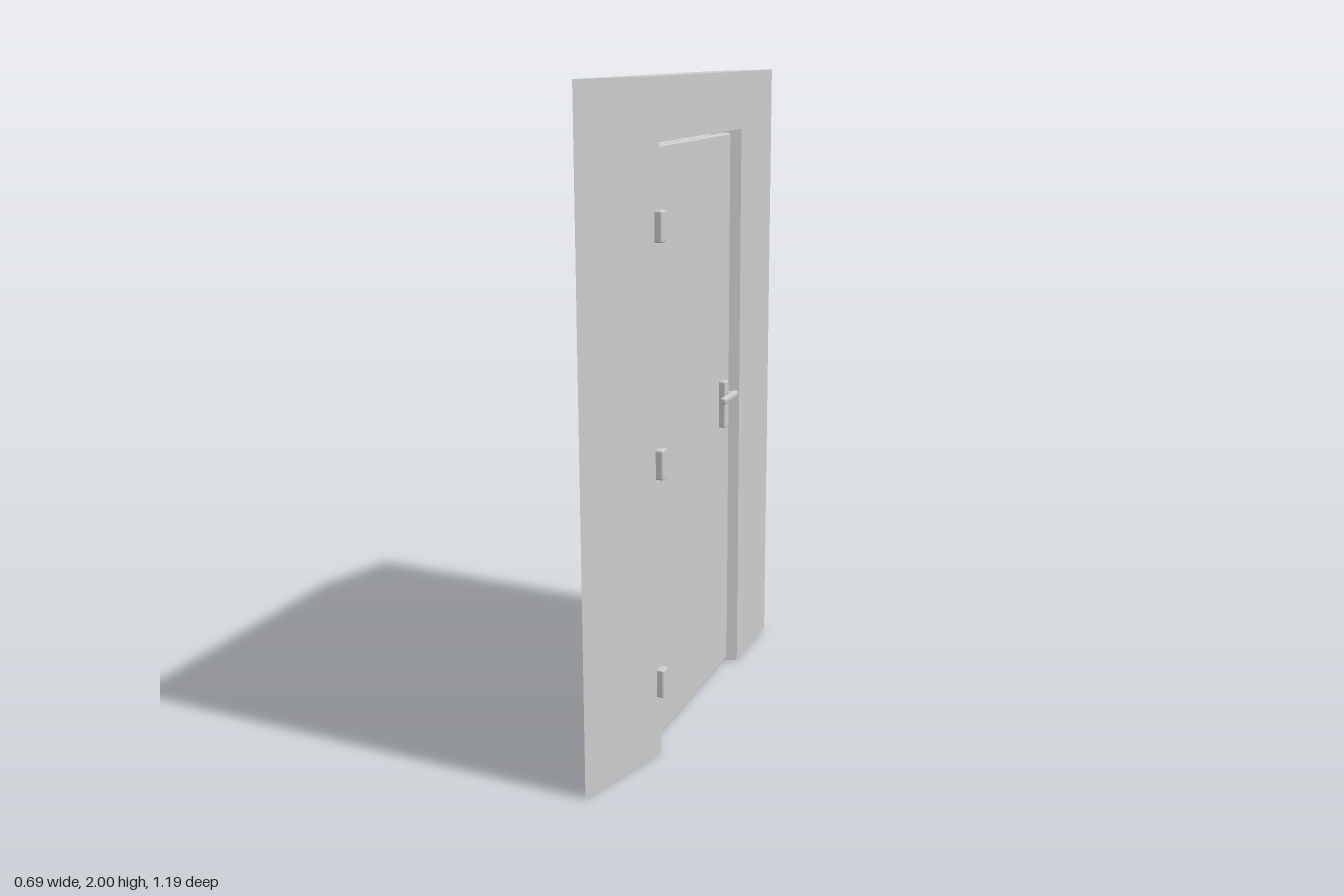
import * as THREE from 'three';
import { RoundedBoxGeometry } from 'three/addons/geometries/RoundedBoxGeometry.js';

const HALF = 0.051;   // half wall thickness measured along x
const SLOPE = 0.496;  // x offset of the wall per unit of z
const TURN = Math.atan2(1, SLOPE);

export function createModel() {
  const model = new THREE.Group();
  model.name = 'doorway';
  const material = new THREE.MeshStandardMaterial({ color: 0xcccccc });

  // Wall: an upside-down U, its ends slanted and the whole sheared to run diagonally
  const outline = new THREE.Shape([
    [-0.474, 0], [-0.315, 0], [-0.315, 1.822], [0.315, 1.822],
    [0.315, 0], [0.474, 0], [0.474, 2], [-0.474, 2],
  ].map(([x, y]) => new THREE.Vector2(x, y)));
  const wallGeometry = new THREE.ExtrudeGeometry(outline, { depth: 2 * HALF, bevelEnabled: false });
  wallGeometry.translate(0, 0, -HALF).rotateY(Math.PI / 2);
  const p = wallGeometry.attributes.position;
  for (let i = 0; i < p.count; i++) {
    const x = p.getX(i);
    let z = p.getZ(i);
    if (Math.abs(z) > 0.4) z -= (x / HALF) * 0.119;
    p.setXYZ(i, x - z * SLOPE, p.getY(i), z);
  }
  wallGeometry.computeVertexNormals();
  const wall = new THREE.Mesh(wallGeometry, material);
  wall.name = 'wall';
  model.add(wall);

  // Everything else is laid out along the wall: x along it, z out of its face
  const door = new THREE.Group();
  door.name = 'door';
  door.rotation.y = TURN;
  model.add(door);

  const add = (name, geometry, x, y, z) => {
    const mesh = new THREE.Mesh(geometry, material);
    mesh.name = name;
    mesh.position.set(x, y, z);
    door.add(mesh);
    return mesh;
  };
  const block = (w, h, d, r) => new RoundedBoxGeometry(w, h, d, 3, r);

  // Door leaf
  add('doorLeaf', block(0.702, 1.794, 0.036, 0.006), 0, 0.913, 0);

  // Hinges on the front only
  for (const y of [0.23, 0.91, 1.595]) {
    add('hinge', block(0.036, 0.09, 0.038, 0.006), -0.347, y, 0.049);
  }

  // Handle set on both faces
  for (const side of [-1, 1]) {
    add('handlePlate', block(0.032, 0.156, 0.024, 0.006), 0.268, 0.943, side * 0.028);
    const neck = add('handleNeck', new THREE.CylinderGeometry(0.009, 0.009, 0.03, 16), 0.272, 0.977, side * 0.045);
    neck.rotation.x = Math.PI / 2;
    add('handleLever', block(0.125, 0.021, 0.021, 0.007), 0.228, 0.977, side * 0.062);
  }

  return model;
}
